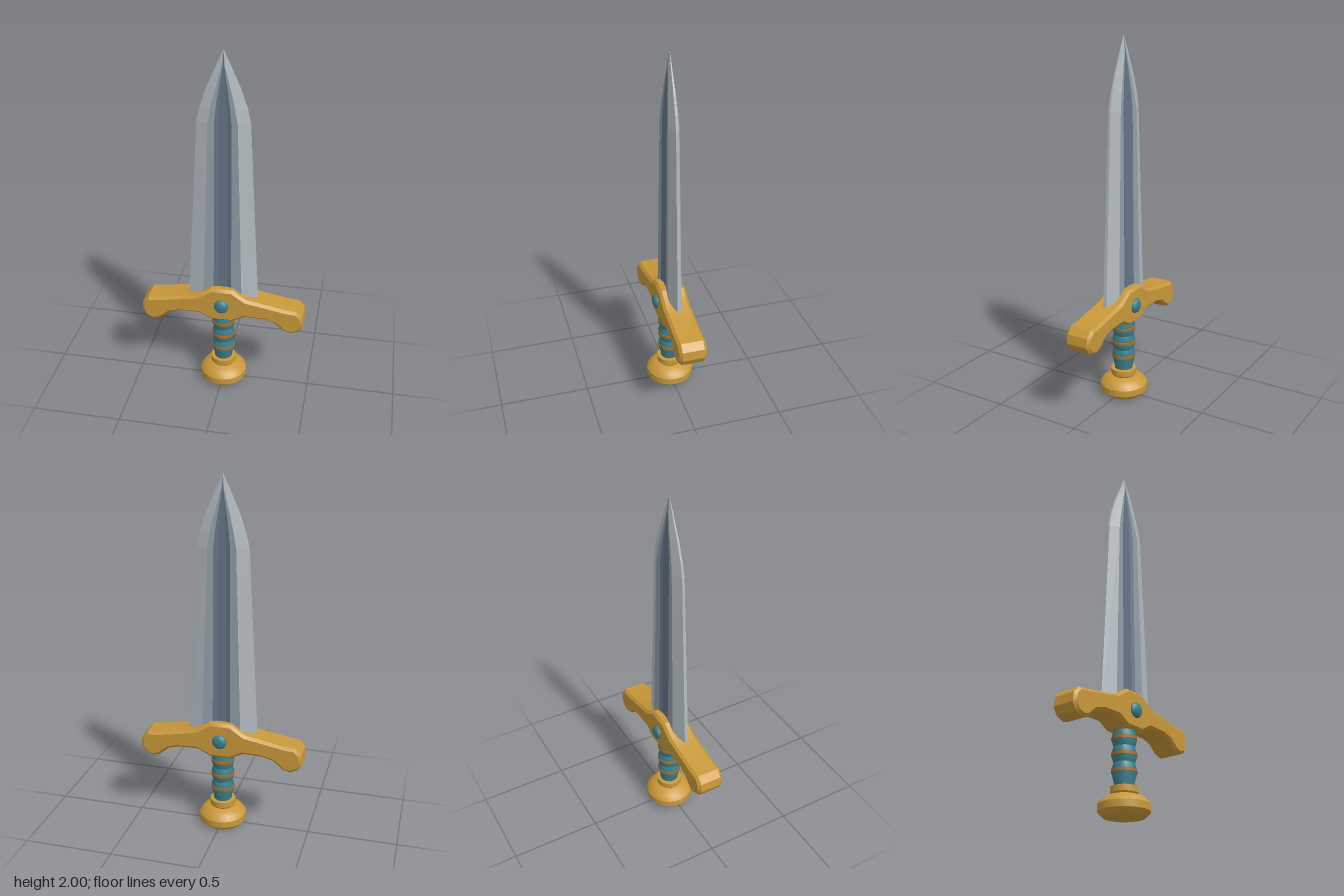
import * as THREE from 'three';
import { toCreasedNormals } from 'three/addons/utils/BufferGeometryUtils.js';

const mat = (name, color, side = THREE.FrontSide) => {
  const m = new THREE.MeshStandardMaterial({ color, side });
  m.name = name;
  return m;
};

export function createModel() {
  const gold = mat('gold', 0xc8983a);
  const bronze = mat('bronze', 0xa87028);
  const teal = mat('teal', 0x3a7f8c);
  const edgeSteel = mat('edge steel', 0xb4bcc0, THREE.DoubleSide);
  const midSteel = mat('mid steel', 0x919ea8, THREE.DoubleSide);
  const darkSteel = mat('dark steel', 0x647486, THREE.DoubleSide);

  const model = new THREE.Group();
  model.name = 'dagger';
  const add = (name, geometry, material, parent = model) => {
    const mesh = new THREE.Mesh(geometry, material);
    mesh.name = name;
    parent.add(mesh);
    return mesh;
  };
  const lathe = (points, segments, crease = 0.5) => toCreasedNormals(
    new THREE.LatheGeometry(points.map(([r, y]) => new THREE.Vector2(r, y)), segments), crease);

  // Blade: rings of 16 points; each row is y, four half-widths, four half-depths
  const sections = [
    [0.55, 0.197, 0.11, 0.05, 0.028, 0.010, 0.039, 0.036, 0.029],
    [1.62, 0.140, 0.078, 0.045, 0.024, 0.007, 0.030, 0.027, 0.020],
    [1.70, 0.122, 0.064, 0.037, 0.020, 0.006, 0.026, 0.023, 0.018],
    [1.80, 0.088, 0.040, 0.023, 0.012, 0.005, 0.020, 0.018, 0.015],
    [1.92, 0.036, 0.008, 0.004, 0.002, 0.003, 0.010, 0.010, 0.009],
    [2.00, 0, 0, 0, 0, 0, 0, 0, 0],
  ];
  const rings = sections.map(([y, ...v]) => {
    const half = [0, 1, 2, 3].map(i => [v[i], v[i + 4]]);
    const front = [
      ...half.map(([x, z]) => [-x, y, z]),
      ...half.slice().reverse().map(([x, z]) => [x, y, z]),
    ];
    return [...front, ...front.slice().reverse().map(([x, , z]) => [x, y, -z])];
  });
  // Strip colours across one face, ending with the narrow side
  const stripColour = [0, 1, 2, 2, 2, 1, 0, 0];
  const strips = [[], [], []];
  for (let r = 0; r < rings.length - 1; r++) {
    for (let i = 0; i < 16; i++) {
      const j = (i + 1) % 16;
      const [a, b, c, d] = [rings[r][i], rings[r][j], rings[r + 1][j], rings[r + 1][i]];
      strips[stripColour[i % 8]].push(...a, ...b, ...c);
      if (r < rings.length - 2) strips[stripColour[i % 8]].push(...a, ...c, ...d);
    }
  }
  const blade = new THREE.Group();
  blade.name = 'blade';
  model.add(blade);
  const stripNames = ['bladeEdges', 'bladeBevels', 'bladeFuller'];
  [edgeSteel, midSteel, darkSteel].forEach((material, k) => {
    const g = new THREE.BufferGeometry();
    g.setAttribute('position', new THREE.Float32BufferAttribute(strips[k], 3));
    g.computeVertexNormals();
    add(stripNames[k], g, material, blade);
  });

  // Crossguard: mirrored outline, extruded with a small chamfer
  const rightHalf = [
    [0.06, 0.44], [0.13, 0.477], [0.24, 0.474], [0.30, 0.458], [0.355, 0.412],
    [0.395, 0.40], [0.44, 0.418], [0.464, 0.46], [0.458, 0.51], [0.425, 0.546],
    [0.36, 0.552], [0.25, 0.572], [0.14, 0.592], [0.06, 0.645],
  ];
  const outline = [...rightHalf, ...rightHalf.slice().reverse().map(([x, y]) => [-x, y])];
  const guard = new THREE.ExtrudeGeometry(
    new THREE.Shape(outline.map(([x, y]) => new THREE.Vector2(x, y))),
    { depth: 0.122, bevelEnabled: true, bevelThickness: 0.015, bevelSize: 0.015, bevelOffset: -0.015, bevelSegments: 1 });
  guard.translate(0, 0, -0.061);
  add('crossguard', toCreasedNormals(guard, 0.5), gold);

  // Gem on each face of the guard
  for (const s of [1, -1]) {
    const gem = add(s > 0 ? 'frontGem' : 'backGem',
      lathe([[0.042, 0.06], [0.042, 0.08], [0.036, 0.09], [0.022, 0.097], [0, 0.099]], 12, 0.7), teal);
    gem.position.y = 0.54;
    gem.rotation.x = s * Math.PI / 2;
  }

  // Grip: swells at each binding
  const bindings = [0.23, 0.315, 0.4];
  const grip = [[0.051, 0.14], [0.052, 0.17]];
  bindings.forEach(y => grip.push([0.064, y - 0.014], [0.064, y + 0.014], [0.055, y + 0.042]));
  grip.push([0.057, 0.47]);
  add('grip', lathe(grip, 16), teal);
  bindings.forEach((y, i) => add('binding' + (i + 1),
    lathe([[0.058, y - 0.011], [0.067, y - 0.008], [0.067, y + 0.008], [0.058, y + 0.011]], 16), bronze));

  // Pommel with its collar
  add('pommel', lathe([
    [0, 0], [0.108, 0], [0.134, 0.025], [0.134, 0.062], [0.118, 0.085], [0.092, 0.102],
    [0.066, 0.11], [0.072, 0.118], [0.072, 0.15], [0.045, 0.153],
  ], 24), gold);

  return model;
}
